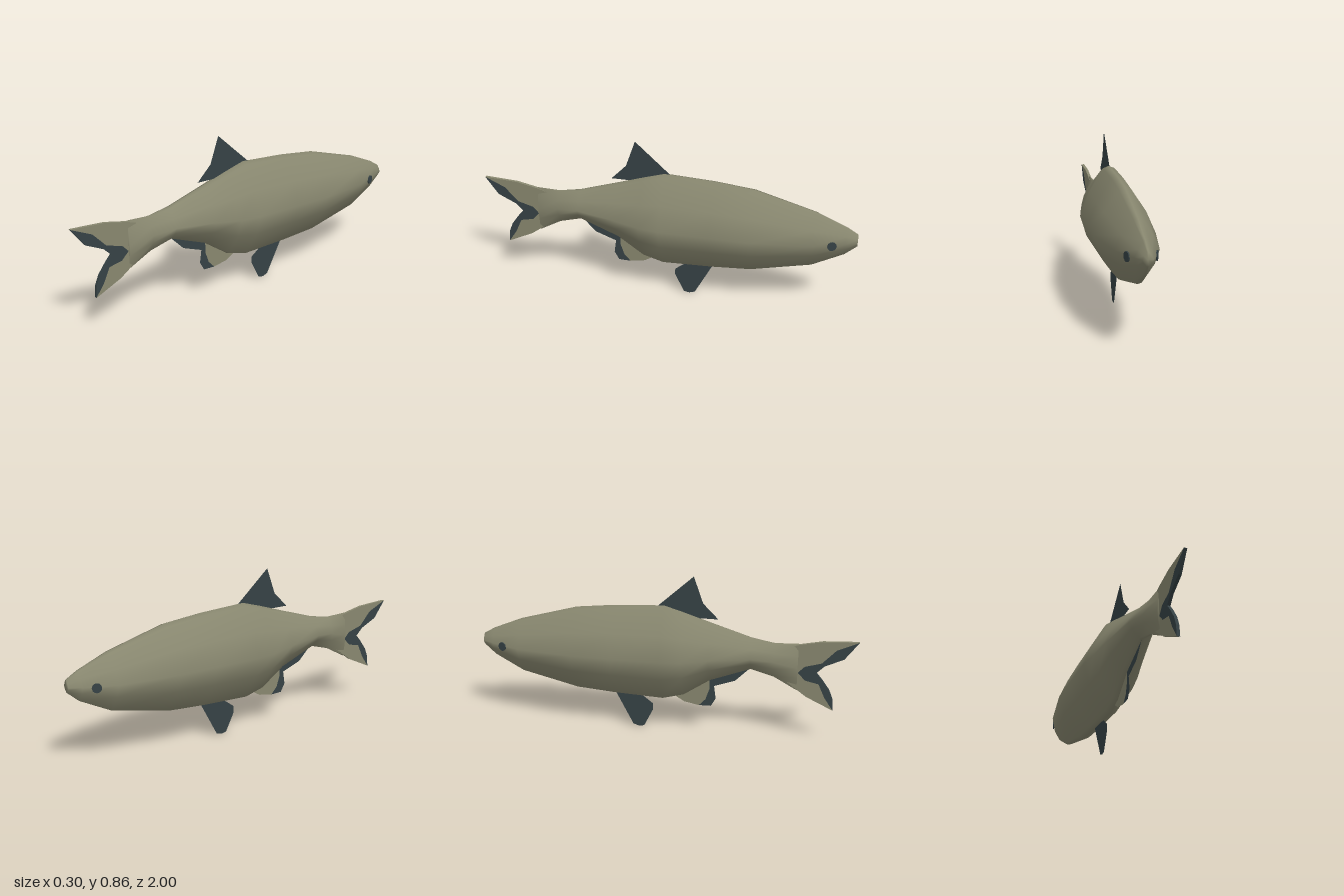
import * as THREE from 'three';

const bodyMat = new THREE.MeshStandardMaterial({ name: 'olive skin', color: 0x88876f });
const finMat = new THREE.MeshStandardMaterial({ name: 'dark slate fin', color: 0x364245 });
finMat.side = bodyMat.side = THREE.DoubleSide;

// Body stations: z, top, bottom, height of widest point, half width
const STATIONS = [
  [-1.0, 0.475, 0.41, 0.44, 0.025],
  [-0.94, 0.51, 0.357, 0.435, 0.046],
  [-0.78, 0.575, 0.275, 0.43, 0.1],
  [-0.47, 0.66, 0.205, 0.435, 0.15],
  [-0.26, 0.683, 0.19, 0.435, 0.151],
  [0.0, 0.697, 0.18, 0.435, 0.151],
  [0.11, 0.665, 0.21, 0.435, 0.135],
  [0.25, 0.62, 0.305, 0.45, 0.11],
  [0.46, 0.555, 0.385, 0.46, 0.07],
  [0.58, 0.535, 0.35, 0.445, 0.046],
  [0.7, 0.54, 0.285, 0.41, 0.018],
];

// Diamond-like cross-section, counter-clockwise
const RING = [
  [1, 0], [0.68, 0.48], [0.2, 0.955], [0, 1], [-0.2, 0.955], [-0.68, 0.48],
  [-1, 0], [-0.78, -0.42], [-0.2, -0.96], [0, -1], [0.2, -0.96], [0.78, -0.42],
];

function bodyGeometry() {
  const pos = [], idx = [], n = RING.length, last = STATIONS.length - 1;
  for (const [z, top, bottom, mid, w] of STATIONS) {
    for (const [u, v] of RING) {
      pos.push(u * w, mid + v * (v > 0 ? top - mid : mid - bottom), z);
    }
  }
  const nose = pos.length / 3;
  pos.push(0, 0.44, -1, 0, 0.41, 0.7);
  for (let j = 0; j < n; j++) {
    const k = (j + 1) % n;
    for (let i = 0; i < last; i++) {
      const a = i * n + j, b = i * n + k;
      idx.push(a, b, a + n, b, b + n, a + n);
    }
    idx.push(nose, k, j, nose + 1, last * n + j, last * n + k);
  }
  const g = new THREE.BufferGeometry();
  g.setAttribute('position', new THREE.Float32BufferAttribute(pos, 3));
  g.setIndex(idx);
  g.computeVertexNormals();
  return g;
}

// Upright plate on the centre plane from (z, y) points
function plate(name, points, mat, depth = 0) {
  const shape = new THREE.Shape(points.map(([z, y]) => new THREE.Vector2(z, y)));
  const g = depth
    ? new THREE.ExtrudeGeometry(shape, { depth, bevelEnabled: false })
    : new THREE.ShapeGeometry(shape);
  g.translate(0, 0, -depth / 2);
  g.rotateY(-Math.PI / 2);
  const mesh = new THREE.Mesh(g, mat);
  mesh.name = name;
  return mesh;
}

export function createModel() {
  const group = new THREE.Group();
  group.name = 'fish';

  const body = new THREE.Mesh(bodyGeometry(), bodyMat);
  body.name = 'body';
  group.add(body);

  // Forked tail: skin-coloured root and dark trailing band share an inner edge
  const inner = [
    [1, 0.57], [0.89, 0.52], [0.82, 0.445], [0.735, 0.42], [0.702, 0.385],
    [0.74, 0.345], [0.81, 0.33], [0.845, 0.255], [0.89, 0.19],
  ];
  const rear = [[0.905, 0.3], [0.865, 0.3], [0.825, 0.355], [0.795, 0.39], [0.835, 0.43], [0.93, 0.475]];
  rear[0] = [0.885, 0.25];
  group.add(plate('tailRoot',
    [[0.64, 0.515], [0.7, 0.535], [0.82, 0.56], ...inner, [0.75, 0.255], [0.64, 0.335]], bodyMat, 0.016));
  group.add(plate('tailEdge', [...inner, ...rear], finMat, 0.016));

  // Single-sheet fins
  group.add(plate('dorsalFin',
    [[-0.03, 0.695], [0.155, 0.86], [0.205, 0.72], [0.285, 0.64], [0.1, 0.64]], finMat));
  group.add(plate('pelvicFin',
    [[-0.27, 0.2], [-0.17, 0.01], [-0.14, 0], [-0.11, 0.005], [-0.06, 0.105], [-0.06, 0.14], [-0.14, 0.2]], finMat));
  group.add(plate('analFinFront',
    [[0.245, 0.33], [0.245, 0.25], [0.225, 0.19], [0.19, 0.153], [0.11, 0.168], [0.04, 0.21], [0.1, 0.25]], bodyMat));
  group.add(plate('analFinRear',
    [[0.46, 0.39], [0.38, 0.31], [0.27, 0.27], [0.28, 0.2], [0.255, 0.155], [0.19, 0.153],
      [0.225, 0.19], [0.245, 0.25], [0.245, 0.33]], finMat));

  // Eyes: thin discs lying along the tapering head
  for (const side of [-1, 1]) {
    const eye = new THREE.Mesh(new THREE.CylinderGeometry(0.024, 0.024, 0.006, 12).rotateZ(Math.PI / 2), finMat);
    eye.name = side > 0 ? 'leftEye' : 'rightEye';
    eye.position.set(side * 0.067, 0.427, -0.877);
    eye.rotation.y = side * 0.325;
    group.add(eye);
  }
  return group;
}
